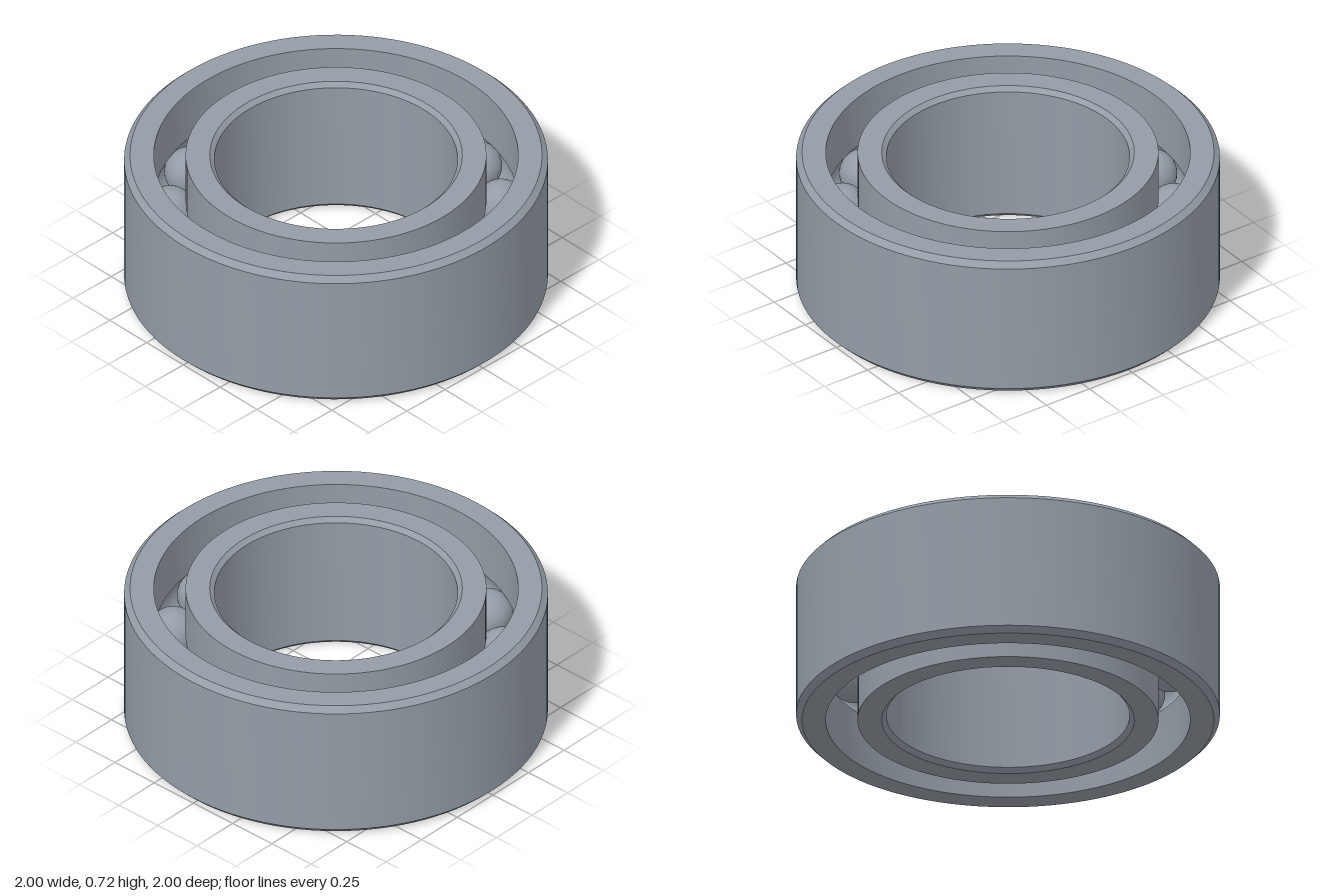
import * as THREE from 'three';
import { toCreasedNormals } from 'three/addons/utils/BufferGeometryUtils.js';

const HEIGHT = 0.72, MID = HEIGHT / 2;
const PITCH = 0.785;      // radius of the circle of balls
const BALL = 0.118, GROOVE = 0.12;
const BALLS = 15;
const HALF = Math.acos(0.075 / GROOVE);   // half angle of each groove arc

// Groove cross-section, swept around the ball centre from one angle to another
function groove(from, to, steps = 14) {
  return Array.from({ length: steps + 1 }, (_, i) => {
    const a = from + (to - from) * i / steps;
    return [PITCH + GROOVE * Math.cos(a), MID + GROOVE * Math.sin(a)];
  });
}

// Revolves a closed, counterclockwise [radius, y] profile with crisp edges
function ring(name, profile, material) {
  const points = [...profile, profile[0]].map(([r, y]) => new THREE.Vector2(r, y));
  const geometry = toCreasedNormals(new THREE.LatheGeometry(points, 112), 0.45);
  const mesh = new THREE.Mesh(geometry, material);
  mesh.name = name;
  return mesh;
}

export function createModel() {
  const model = new THREE.Group();
  model.name = 'ballBearing';
  const steel = new THREE.MeshStandardMaterial({ color: 0x949ca6 });
  steel.name = 'steel';

  // Outer race: chamfered outside, grooved inside
  const c = 0.028;
  model.add(ring('outerRace', [
    [0.86, 0], [1 - c, 0], [1, c], [1, HEIGHT - c], [1 - c, HEIGHT], [0.86, HEIGHT],
    ...groove(HALF, -HALF),
  ], steel));

  // Inner race: grooved outside, chamfered bore
  const b = 0.022, bore = 0.574;
  model.add(ring('innerRace', [
    [bore + b, 0], [0.71, 0],
    ...groove(Math.PI + HALF, Math.PI - HALF),
    [0.71, HEIGHT], [bore + b, HEIGHT], [bore, HEIGHT - b], [bore, b],
  ], steel));

  // Balls, the first one on the -x side
  const balls = new THREE.Group();
  balls.name = 'balls';
  const sphere = new THREE.SphereGeometry(BALL, 36, 24);
  for (let i = 0; i < BALLS; i++) {
    const a = Math.PI + i * 2 * Math.PI / BALLS;
    const ball = new THREE.Mesh(sphere, steel);
    ball.name = 'ball';
    ball.position.set(PITCH * Math.cos(a), MID, PITCH * Math.sin(a));
    balls.add(ball);
  }
  model.add(balls);
  return model;
}
